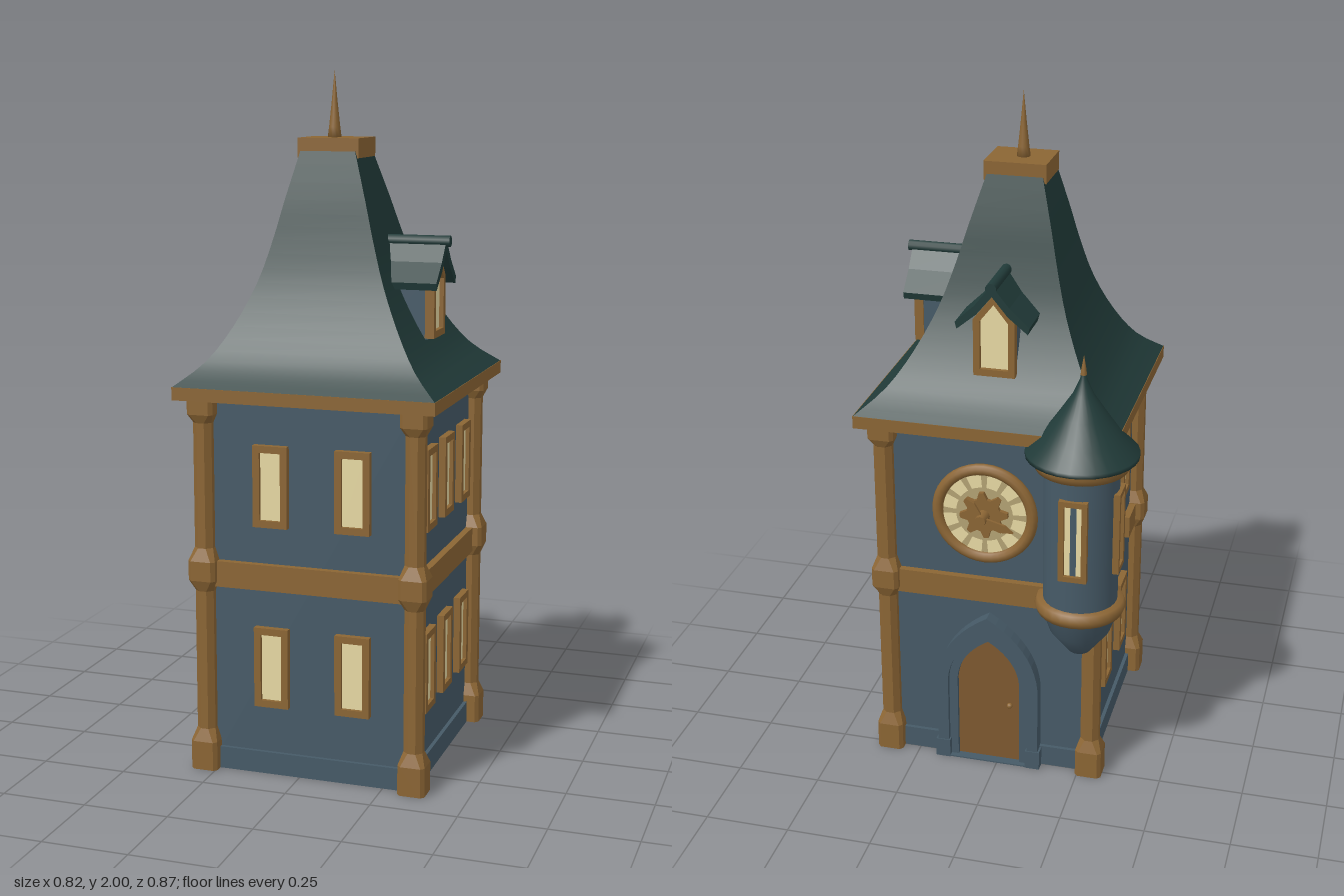
import * as THREE from 'three';

const mat = (name, color) => Object.assign(new THREE.MeshStandardMaterial({ color }), { name });

export function createModel() {
  const wall = mat('slate blue wall', 0x465a67);
  const roof = mat('dark teal roof', 0x213b39);
  const trim = mat('ochre trim', 0x8b6534);
  const glass = mat('pale yellow glass', 0xe8daa4);
  const wood = mat('door wood', 0x7d5930);
  const dial = mat('tan dial', 0xb3a274);

  const model = new THREE.Group();
  model.name = 'clockTower';
  const tower = new THREE.Group();
  tower.name = 'tower';
  tower.position.set(0.028, 0, 0.064);
  model.add(tower);

  const add = (parent, name, geo, material, x = 0, y = 0, z = 0) => {
    const m = new THREE.Mesh(geo, material);
    m.name = name;
    m.position.set(x, y, z);
    parent.add(m);
    return m;
  };
  const box = (parent, name, w, h, d, material, x, y, z) =>
    add(parent, name, new THREE.BoxGeometry(w, h, d), material, x, y, z);
  const lathe = (parent, name, pts, seg, material, x = 0, y = 0, z = 0) =>
    add(parent, name, new THREE.LatheGeometry(pts.map(p => new THREE.Vector2(...p)), seg), material, x, y, z);
  const extrude = (shape, depth) =>
    new THREE.ExtrudeGeometry(shape, { depth, bevelEnabled: false, curveSegments: 10 });
  const poly = pts => new THREE.Shape(pts.map(p => new THREE.Vector2(...p)));
  const rect = (w, h) => poly([[-w / 2, -h / 2], [w / 2, -h / 2], [w / 2, h / 2], [-w / 2, h / 2]]);

  // Four wall frames, each with its outside along local +z
  const [front, left, back, right] = ['frontSide', 'plusXSide', 'backSide', 'minusXSide'].map((name, k) => {
    const g = new THREE.Group();
    g.name = name;
    g.rotation.y = k * Math.PI / 2;
    tower.add(g);
    return g;
  });

  // Main body and plinth
  box(tower, 'walls', 0.61, 1.1, 0.61, wall, 0, 0.55, 0);
  box(tower, 'plinth', 0.632, 0.065, 0.632, wall, 0, 0.0325, 0);

  // Corner posts: octagonal shafts, with feet, joints and heads widened to chamfered squares
  const post = new THREE.LatheGeometry([
    [0, 0], [0.043, 0], [0.043, 0.085], [0.03, 0.122], [0.03, 0.535], [0.044, 0.568], [0.044, 0.625],
    [0.03, 0.662], [0.03, 1.025], [0.042, 1.05], [0.042, 1.1], [0, 1.1],
  ].map(p => new THREE.Vector2(...p)), 8, Math.PI / 8).toNonIndexed();
  const pp = post.attributes.position;
  for (let i = 0; i < pp.count; i++) {
    const x = pp.getX(i), z = pp.getZ(i);
    if (Math.hypot(x, z) < 0.035) continue;
    if (Math.abs(x) < Math.abs(z)) pp.setX(i, x * 1.8);
    else pp.setZ(i, z * 1.8);
  }
  post.computeVertexNormals();
  for (const x of [-0.312, 0.312]) for (const z of [-0.31, 0.31]) add(tower, 'cornerPost', post, trim, x, 0, z);

  // Middle bands; one side only carries a short stub
  for (const side of [front, left, back]) box(side, 'middleBand', 0.6, 0.075, 0.05, trim, 0, 0.588, 0.301);
  box(right, 'middleBandStub', 0.13, 0.07, 0.05, trim, 0.235, 0.588, 0.301);

  // Windows: raised frame around a thin pane
  const makeWindow = (parent, x, y, z, w, h, b = 0.02) => {
    const g = new THREE.Group();
    g.name = 'window';
    g.position.set(x, y, z);
    parent.add(g);
    const s = rect(w, h);
    s.holes.push(rect(w - 2 * b, h - 2 * b));
    add(g, 'windowFrame', extrude(s, 0.03), trim, 0, 0, -0.01);
    box(g, 'windowPane', w - 2 * b, h - 2 * b, 0.008, glass, 0, 0, 0.005);
  };
  for (const y of [0.322, 0.852]) {
    for (const x of [-0.11, 0.132]) makeWindow(front, x, y, 0.305, 0.102, 0.235);
    for (const x of [-0.183, 0, 0.187]) makeWindow(left, x, y, 0.305, 0.102, 0.235);
    for (const x of [-0.11, 0.11]) makeWindow(right, x, y, 0.305, 0.102, 0.235);
  }

  // Pointed doorway
  const arch = (w, spring, apex, y0 = 0) => {
    const s = new THREE.Shape();
    s.moveTo(-w, y0);
    s.lineTo(w, y0);
    s.lineTo(w, spring);
    s.quadraticCurveTo(w * 0.92, spring + (apex - spring) * 0.62, 0, apex);
    s.quadraticCurveTo(-w * 0.92, spring + (apex - spring) * 0.62, -w, spring);
    return s;
  };
  const outer = arch(0.156, 0.28, 0.505);
  outer.holes.push(arch(0.122, 0.28, 0.455, 0.004));
  add(back, 'doorOuterArch', extrude(outer, 0.045), wall, 0, 0, 0.3);
  const inner = arch(0.123, 0.28, 0.457);
  inner.holes.push(arch(0.096, 0.28, 0.418, 0.004));
  add(back, 'doorInnerArch', extrude(inner, 0.03), wall, 0, 0, 0.3);
  add(back, 'door', extrude(arch(0.098, 0.28, 0.42), 0.018), wood, 0, 0, 0.3);
  add(back, 'doorKnob', new THREE.SphereGeometry(0.009, 10, 8), trim, 0.065, 0.2, 0.325);
  for (const x of [-0.14, 0.14]) box(back, 'archFoot', 0.044, 0.06, 0.052, wall, x, 0.03, 0.322);

  // Clock: ring, dial, hour plates, gear and hands
  const clock = new THREE.Group();
  clock.name = 'clock';
  clock.position.set(-0.01, 0.838, 0.305);
  back.add(clock);
  add(clock, 'clockRing', new THREE.TorusGeometry(0.141, 0.017, 10, 40), trim, 0, 0, 0.01);
  add(clock, 'clockDial', new THREE.CylinderGeometry(0.135, 0.135, 0.02, 40), dial, 0, 0, 0.002).rotation.x = Math.PI / 2;
  for (let i = 0; i < 12; i++) {
    const g = new THREE.RingGeometry(0.085, 0.124, 4, 1, (i + 0.15) * Math.PI / 6, 0.7 * Math.PI / 6);
    add(clock, 'hourPlate', g, glass, 0, 0, 0.014);
  }
  const gear = poly(Array.from({ length: 32 }, (_, i) => {
    const r = i % 4 < 2 ? 0.072 : 0.052, a = i * Math.PI / 16;
    return [r * Math.cos(a), r * Math.sin(a)];
  }));
  add(clock, 'clockGear', extrude(gear, 0.015), trim, 0, 0, 0.01);
  add(clock, 'clockHub', new THREE.CylinderGeometry(0.016, 0.02, 0.05, 12), trim, 0, 0, 0.04).rotation.x = Math.PI / 2;
  for (const [len, angle] of [[0.1, -1.9], [0.075, 0.6]]) {
    const hand = add(clock, 'clockHand', extrude(poly([[-0.008, 0], [0.008, 0], [0.012, len * 0.7], [0, len], [-0.012, len * 0.7]]), 0.008),
      trim, 0, 0, 0.045);
    hand.rotation.z = angle;
  }

  // Main roof: four flared faces, smooth along the slope and sharp at the hips
  box(tower, 'eavesTrim', 0.762, 0.037, 0.75, trim, 0, 1.112, 0);
  const slope = new THREE.SplineCurve([[0.38, 1.13], [0.305, 1.195], [0.242, 1.29], [0.186, 1.41], [0.148, 1.53], [0.119, 1.64], [0.081, 1.775]]
    .map(p => new THREE.Vector2(...p))).getPoints(18);
  for (let k = 0; k < 4; k++) {
    const pos = [], idx = [];
    const a = k * Math.PI / 2, c = Math.cos(a), s = Math.sin(a);
    slope.forEach((p, i) => {
      const t = (p.y - 1.13) / 0.64;
      for (const u of [-1, 1]) {
        const x = u * p.x, z = p.x;
        pos.push(x * c + z * s - 0.016 * t, p.y, (z * c - x * s) * 0.985 + 0.013 * t);
      }
      if (i) idx.push(2 * i - 2, 2 * i - 1, 2 * i + 1, 2 * i - 2, 2 * i + 1, 2 * i);
    });
    const g = new THREE.BufferGeometry();
    g.setAttribute('position', new THREE.Float32BufferAttribute(pos, 3));
    g.setIndex(idx);
    g.computeVertexNormals();
    add(tower, 'roofSlope', g, roof);
  }

  // Roof cap and spike
  box(tower, 'roofCap', 0.181, 0.055, 0.156, trim, -0.016, 1.784, 0.013);
  lathe(tower, 'roofSpike', [[0, 0], [0.02, 0], [0.016, 0.03], [0.008, 0.105], [0, 0.19]], 10, trim, -0.022, 1.81, 0.013);

  // Dormers: pointed window house under a small flared gable
  const gable = (w, y0, eave, apex) => poly([[-w, y0], [w, y0], [w, eave], [0, apex], [-w, eave]]);
  for (const [side, x, z] of [[left, 0, 0], [back, 0.01, -0.01]]) {
    const d = new THREE.Group();
    d.name = 'dormer';
    d.position.set(x, 0, z);
    side.add(d);
    add(d, 'dormerWalls', extrude(gable(0.056, 1.25, 1.42, 1.495), 0.17), wall, 0, 0, 0.1);
    const f = gable(0.06, 1.253, 1.42, 1.495);
    f.holes.push(gable(0.041, 1.273, 1.415, 1.467));
    add(d, 'dormerFrame', extrude(f, 0.027), trim, 0, 0, 0.262);
    add(d, 'dormerPane', extrude(gable(0.042, 1.272, 1.415, 1.468), 0.008), glass, 0, 0, 0.268);
    const cover = poly([[0, 1.53], [-0.05, 1.468], [-0.107, 1.415], [-0.102, 1.395], [-0.045, 1.442], [0, 1.497],
      [0.045, 1.442], [0.102, 1.395], [0.107, 1.415], [0.05, 1.468]]);
    add(d, 'dormerRoof', extrude(cover, 0.185), roof, 0, 0, 0.122);
    add(d, 'dormerRidge', new THREE.CylinderGeometry(0.016, 0.016, 0.185, 10), roof, 0, 1.524, 0.226).rotation.x = Math.PI / 2;
  }

  // Corner turret
  const turret = new THREE.Group();
  turret.name = 'turret';
  turret.position.set(-0.252, 0, -0.274);
  model.add(turret);
  lathe(turret, 'turretBowl', [[0, 0.44], [0.032, 0.443], [0.052, 0.468], [0.088, 0.515], [0.112, 0.585]], 28, wall);
  lathe(turret, 'turretWall', [[0.108, 0.58], [0.108, 1.06]], 28, wall);
  lathe(turret, 'turretRing', [[0.1, 0.58], [0.125, 0.582], [0.132, 0.6], [0.125, 0.62], [0.1, 0.624]], 28, trim);
  lathe(turret, 'turretEaves', [[0.1, 1.035], [0.133, 1.037], [0.14, 1.055], [0.14, 1.075]], 28, trim);
  lathe(turret, 'turretRoof', [[0, 1.068], [0.161, 1.072], [0.161, 1.085], [0.115, 1.13], [0.07, 1.195], [0.03, 1.255], [0.01, 1.3], [0.006, 1.325]], 28, roof);
  lathe(turret, 'turretSpike', [[0.009, 1.312], [0.007, 1.33], [0, 1.37]], 10, trim);
  for (const angle of [Math.PI, -Math.PI / 2]) {
    const g = new THREE.Group();
    g.name = 'turretSide';
    g.rotation.y = angle;
    turret.add(g);
    makeWindow(g, 0, 0.852, 0.098, 0.082, 0.25, 0.016);
  }
  return model;
}
